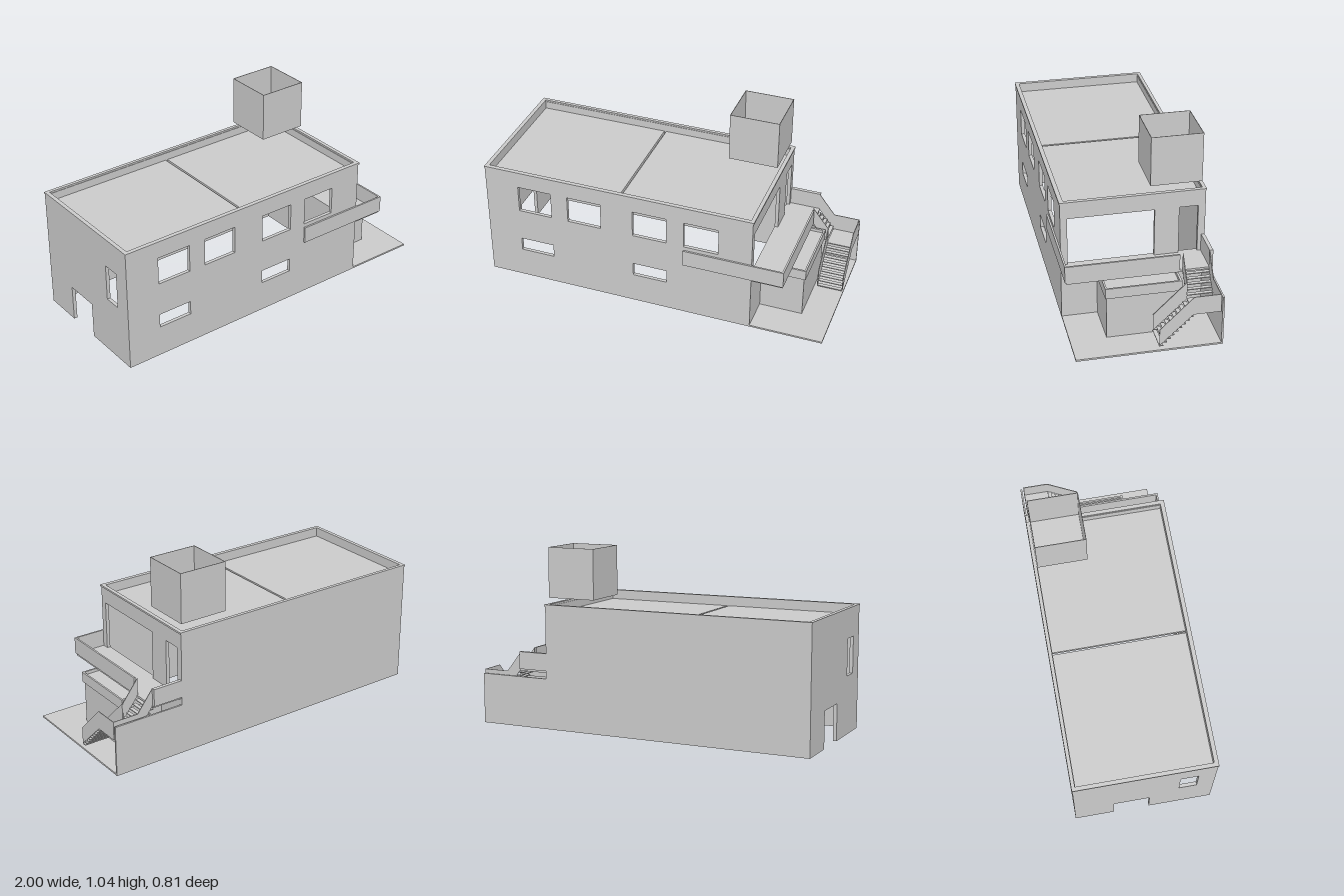
import * as THREE from 'three';

const material = new THREE.MeshStandardMaterial({ color: 0xcccccc, flatShading: true, side: THREE.DoubleSide });

function add(parent, name, geometry) {
  const mesh = new THREE.Mesh(geometry, material);
  mesh.name = name;
  parent.add(mesh);
  return mesh;
}

// Box given by its limits on each axis
function block(parent, name, x0, x1, y0, y1, z0, z1) {
  const mesh = add(parent, name, new THREE.BoxGeometry(x1 - x0, y1 - y0, z1 - z0));
  mesh.position.set((x0 + x1) / 2, (y0 + y1) / 2, (z0 + z1) / 2);
  return mesh;
}

const rect = (u0, u1, v0, v1) => [[u0, v0], [u1, v0], [u1, v1], [u0, v1]];
const toPoints = (list) => list.map(([u, v]) => new THREE.Vector2(u, v));

function plate(outline, holes, thickness) {
  const shape = new THREE.Shape(toPoints(outline));
  for (const h of holes) shape.holes.push(new THREE.Path(toPoints(h)));
  return new THREE.ExtrudeGeometry(shape, { depth: thickness, bevelEnabled: false });
}

// Panel drawn in x,y, filling z to z + thickness
function panelX(parent, name, outline, holes, z, thickness) {
  add(parent, name, plate(outline, holes, thickness)).position.z = z;
}

// Panel drawn in z,y, filling x - thickness to x
function panelZ(parent, name, outline, holes, x, thickness) {
  const mesh = add(parent, name, plate(outline, holes, thickness));
  mesh.rotation.y = -Math.PI / 2;
  mesh.position.x = x;
}

// Horizontal frame drawn in x,z, filling y to y + height
function frame(parent, name, outer, inner, y, height) {
  const mesh = add(parent, name, plate(outer, [inner], height));
  mesh.rotation.x = Math.PI / 2;
  mesh.position.y = y + height;
}

function group(parent, name) {
  const g = new THREE.Group();
  g.name = name;
  parent.add(g);
  return g;
}

function buildHouse(root) {
  const house = group(root, 'house');
  const T = 0.02;
  const top = 0.705;

  // Front wall with two rows of windows
  const windows = [];
  for (const x of [-0.8, -0.5, -0.11, 0.19]) windows.push(rect(x, x + 0.2, 0.455, 0.615));
  for (const x of [-0.8, -0.11]) windows.push(rect(x, x + 0.2, 0.18, 0.26));
  panelX(house, 'frontWall', rect(-0.998, 0.582, 0, top), windows, 0.373, T);

  // Back wall
  block(house, 'backWall', -0.998, 0.582, 0, top, -0.4, -0.38);

  // End wall with a doorway at the ground and a tall window
  const endOutline = [[-0.38, 0], [-0.175, 0], [-0.175, 0.21], [0.03, 0.21], [0.03, 0],
    [0.373, 0], [0.373, top], [-0.38, top]];
  panelZ(house, 'endWall', endOutline, [rect(0.195, 0.295, 0.335, 0.545)], -0.978, T);

  // Terrace wall with the large window and balcony door
  panelZ(house, 'terraceWall', rect(-0.38, 0.373, 0, top),
    [rect(-0.12, 0.355, 0.335, 0.615), rect(-0.36, -0.255, 0.335, 0.615)], 0.582, T);

  // Roof in two halves with a gap, and the parapet cap
  block(house, 'roofLeft', -0.978, -0.21, 0.64, 0.66, -0.38, 0.373);
  block(house, 'roofRight', -0.198, 0.562, 0.64, 0.66, -0.38, 0.373);
  frame(house, 'parapetCap', rect(-1, 0.587, -0.403, 0.397), rect(-0.977, 0.565, -0.383, 0.373), top, 0.01);
}

// Open-topped box above the roof
function buildTank(root) {
  const tank = group(root, 'roofTank');
  frame(tank, 'tankWalls', rect(0.283, 0.567, -0.382, -0.098), rect(0.286, 0.564, -0.379, -0.101), 0.755, 0.282);
  block(tank, 'tankFloor', 0.283, 0.567, 0.753, 0.756, -0.382, -0.098);
}

function buildTerrace(root) {
  const terrace = group(root, 'terrace');
  block(terrace, 'terraceSlab', 0.582, 1, 0, 0.01, -0.4, 0.393);
  block(terrace, 'boundaryWall', 0.582, 1, 0.01, 0.29, -0.4, -0.39);

  // Ground-floor annex with a rimmed roof
  block(terrace, 'annex', 0.582, 0.83, 0.01, 0.258, -0.2, 0.195);
  block(terrace, 'annexRoof', 0.582, 0.83, 0.258, 0.3, -0.2, 0.195);
  frame(terrace, 'annexRim', rect(0.582, 0.84, -0.212, 0.203), rect(0.583, 0.83, -0.2, 0.193), 0.258, 0.06);

  // Balcony floor and its parapets
  const balcony = group(root, 'balcony');
  block(balcony, 'balconyFloor', 0.582, 0.76, 0.323, 0.335, -0.39, 0.393);
  block(balcony, 'frontParapet', 0.19, 0.765, 0.335, 0.432, 0.393, 0.403);
  block(balcony, 'sideParapet', 0.755, 0.765, 0.335, 0.432, -0.217, 0.393);
  block(balcony, 'backParapet', 0.582, 0.757, 0.335, 0.435, -0.4, -0.38);
}

function buildStairs(root) {
  const stairs = group(root, 'stairs');

  // Lower flight climbs toward the back
  for (let i = 0; i < 9; i++) {
    const z = -0.052 - i * 0.02;
    const y = 0.031 + i * 0.02;
    block(stairs, 'lowerTread', 0.85, 0.998, y, y + 0.005, z - 0.022, z);
  }
  const lowerRail = [[-0.053, 0.037], [-0.053, 0.135], [-0.235, 0.313], [-0.235, 0.21]];
  panelZ(stairs, 'lowerInnerRail', lowerRail, [], 0.854, 0.004);
  panelZ(stairs, 'lowerOuterRail', lowerRail, [], 1, 0.004);

  // Landing with rails on its two outer sides
  block(stairs, 'landing', 0.85, 1, 0.207, 0.213, -0.38, -0.235);
  block(stairs, 'landingSideRail', 0.996, 1, 0.207, 0.313, -0.38, -0.235);
  block(stairs, 'landingBackRail', 0.85, 1, 0.207, 0.313, -0.382, -0.378);

  // Upper flight turns toward the house
  for (let i = 0; i < 5; i++) {
    const x = 0.85 - i * 0.02;
    const y = 0.227 + i * 0.02;
    block(stairs, 'upperTread', x - 0.021, x, y, y + 0.005, -0.38, -0.235);
  }
  const upperRail = [[0.85, 0.213], [0.85, 0.313], [0.755, 0.435], [0.755, 0.335]];
  panelX(stairs, 'upperInnerRail', upperRail, [], -0.237, 0.004);
  panelX(stairs, 'upperOuterRail', upperRail, [], -0.382, 0.004);
}

export function createModel() {
  const root = new THREE.Group();
  root.name = 'building';
  buildHouse(root);
  buildTank(root);
  buildTerrace(root);
  buildStairs(root);
  return root;
}
